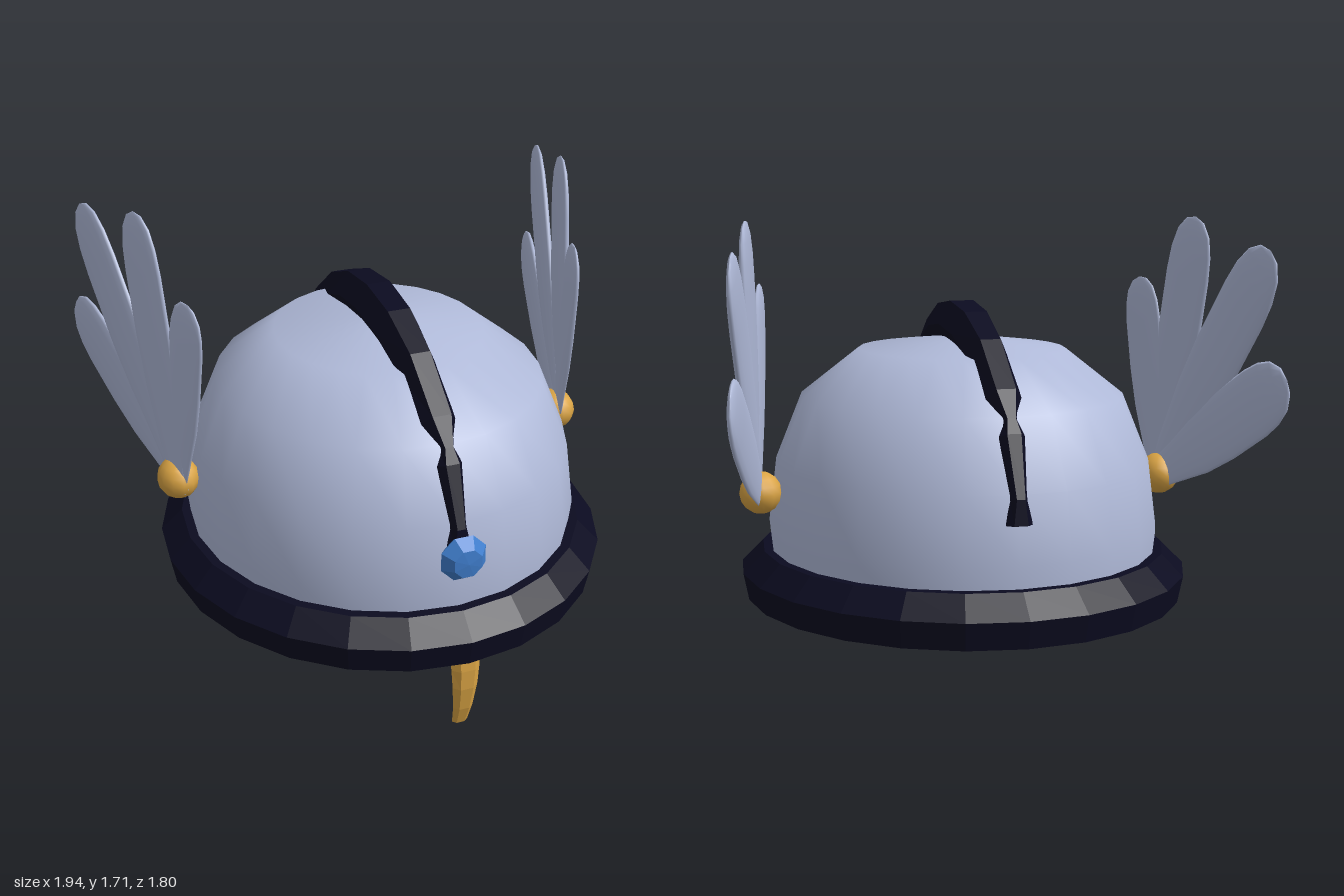
import * as THREE from 'three';

const mat = (name, color) => {
  const m = new THREE.MeshStandardMaterial({ color });
  m.name = name;
  return m;
};

// Hard facets for a geometry
function faceted(geo) {
  const g = geo.index ? geo.toNonIndexed() : geo;
  g.computeVertexNormals();
  return g;
}

const lathe = (pts, segments) =>
  new THREE.LatheGeometry(pts.map(([r, y]) => new THREE.Vector2(r, y)), segments);

// Six-sided bar along a path in the z-y plane; stations are [z, y, halfWidth, depth]
function ridge(stations) {
  const pos = [], idx = [], last = stations.length - 1;
  stations.forEach(([z, y, w, d], j) => {
    const a = stations[Math.max(j - 1, 0)], b = stations[Math.min(j + 1, last)];
    const len = Math.hypot(b[0] - a[0], b[1] - a[1]);
    const nz = (b[1] - a[1]) / len, ny = -(b[0] - a[0]) / len;
    const ring = [[-0.5, 0], [0.5, 0], [1, -0.5], [0.5, -1], [-0.5, -1], [-1, -0.5]];
    for (const [u, v] of ring) pos.push(u * w, y + ny * v * d, z + nz * v * d);
  });
  for (let j = 0; j < last; j++) {
    for (let i = 0; i < 6; i++) {
      const a = j * 6 + i, b = j * 6 + (i + 1) % 6;
      idx.push(a, b, a + 6, b, b + 6, a + 6);
    }
  }
  for (let i = 1; i < 5; i++) {
    idx.push(0, i + 1, i, last * 6, last * 6 + i, last * 6 + i + 1);
  }
  const g = new THREE.BufferGeometry();
  g.setAttribute('position', new THREE.Float32BufferAttribute(pos, 3));
  g.setIndex(idx);
  return faceted(g);
}

export function createModel() {
  const silver = mat('silver', 0xb0bad9);
  const navy = mat('navy', 0x0b0b20);
  const gold = mat('gold', 0xdaa444);
  const blue = mat('gem blue', 0x3f7dcc);

  const model = new THREE.Group();
  model.name = 'wingedHelmet';
  const add = (parent, name, geo, material) => {
    const m = new THREE.Mesh(geo, material);
    m.name = name;
    parent.add(m);
    return m;
  };

  // Bowl, slightly longer than wide, closed underneath
  const stretch = 1.08;
  const dome = add(model, 'dome', lathe([
    [0.71, 0.38], [0.73, 0.56], [0.7, 0.8], [0.6, 1.05], [0.385, 1.22], [0, 1.27],
  ], 24), silver);
  dome.scale.z = stretch;
  const floor = add(model, 'underside', new THREE.CircleGeometry(0.72, 24).rotateX(Math.PI / 2), silver);
  floor.scale.z = stretch;
  floor.position.y = 0.312;

  // Brim band
  const rim = add(model, 'rim', faceted(lathe([
    [0.7, 0.3], [0.815, 0.3], [0.835, 0.4], [0.755, 0.48], [0.7, 0.48], [0.7, 0.3],
  ], 24)), navy);
  rim.scale.z = stretch;

  // Crest running front to back, its second half mirrored
  const half = [
    [0.79, 0.7, 0.05, 0.06], [0.785, 0.79, 0.03, 0.06], [0.7, 1.0, 0.05, 0.08],
    [0.665, 1.05, 0.03, 0.07], [0.6, 1.14, 0.07, 0.12], [0.4, 1.29, 0.075, 0.16],
    [0.2, 1.37, 0.085, 0.17],
  ];
  const back = half.map(([z, ...rest]) => [-z, ...rest]).reverse();
  add(model, 'crest', ridge([...half, [0, 1.395, 0.09, 0.17], ...back]), navy);

  // Front gem
  const gem = add(model, 'gem', faceted(lathe([
    [0, -0.05], [0.055, -0.045], [0.09, 0], [0.055, 0.045], [0, 0.05],
  ], 8).rotateY(Math.PI / 8).rotateX(Math.PI / 2)), blue);
  gem.position.set(0, 0.69, 0.805);

  // Curved nose guard
  add(model, 'noseGuard', ridge([
    [0.818, 0, 0.03, 0.02], [0.848, 0.08, 0.038, 0.03], [0.868, 0.18, 0.048, 0.042],
    [0.872, 0.26, 0.054, 0.05], [0.868, 0.34, 0.06, 0.055],
  ]), gold);

  // Feathers: [tip z, tip y, half width, layer offset]
  const feathers = [
    [0.1, 1.465, 0.11, 0.004], [-0.23, 1.705, 0.128, 0.01],
    [-0.655, 1.6, 0.132, 0], [-0.765, 1.16, 0.13, -0.006],
  ];
  const outline = [
    [0, -0.05], [0.36, -0.03], [0.55, 0.1], [0.9, 0.36], [1, 0.55], [1, 0.78],
    [0.93, 0.87], [0.75, 0.94], [0.42, 0.985], [0, 1],
  ];
  const tilt = THREE.MathUtils.degToRad(15);
  for (const side of [1, -1]) {
    const wing = new THREE.Group();
    wing.name = side > 0 ? 'leftWing' : 'rightWing';
    wing.position.set(side * 0.772, 0.7, -0.03);
    wing.rotation.y = -side * tilt;
    model.add(wing);
    feathers.forEach(([z, y, w, offset], i) => {
      const dz = (z + 0.03) / Math.cos(tilt), dy = y - 0.7, len = Math.hypot(dz, dy);
      const f = add(wing, 'feather' + (i + 1), lathe(outline.map(([r, t]) => [r * w, t * len]), 16), silver);
      f.scale.x = 0.17;
      f.rotation.x = Math.atan2(dz, dy);
      f.position.x = side * offset;
    });

    // Wing mount
    const boss = add(model, side > 0 ? 'leftBoss' : 'rightBoss', new THREE.SphereGeometry(0.078, 12, 8), gold);
    boss.position.set(side * 0.773, 0.715, -0.055);
    boss.scale.z = 1.12;
  }

  model.position.x = -0.005;
  return model;
}
